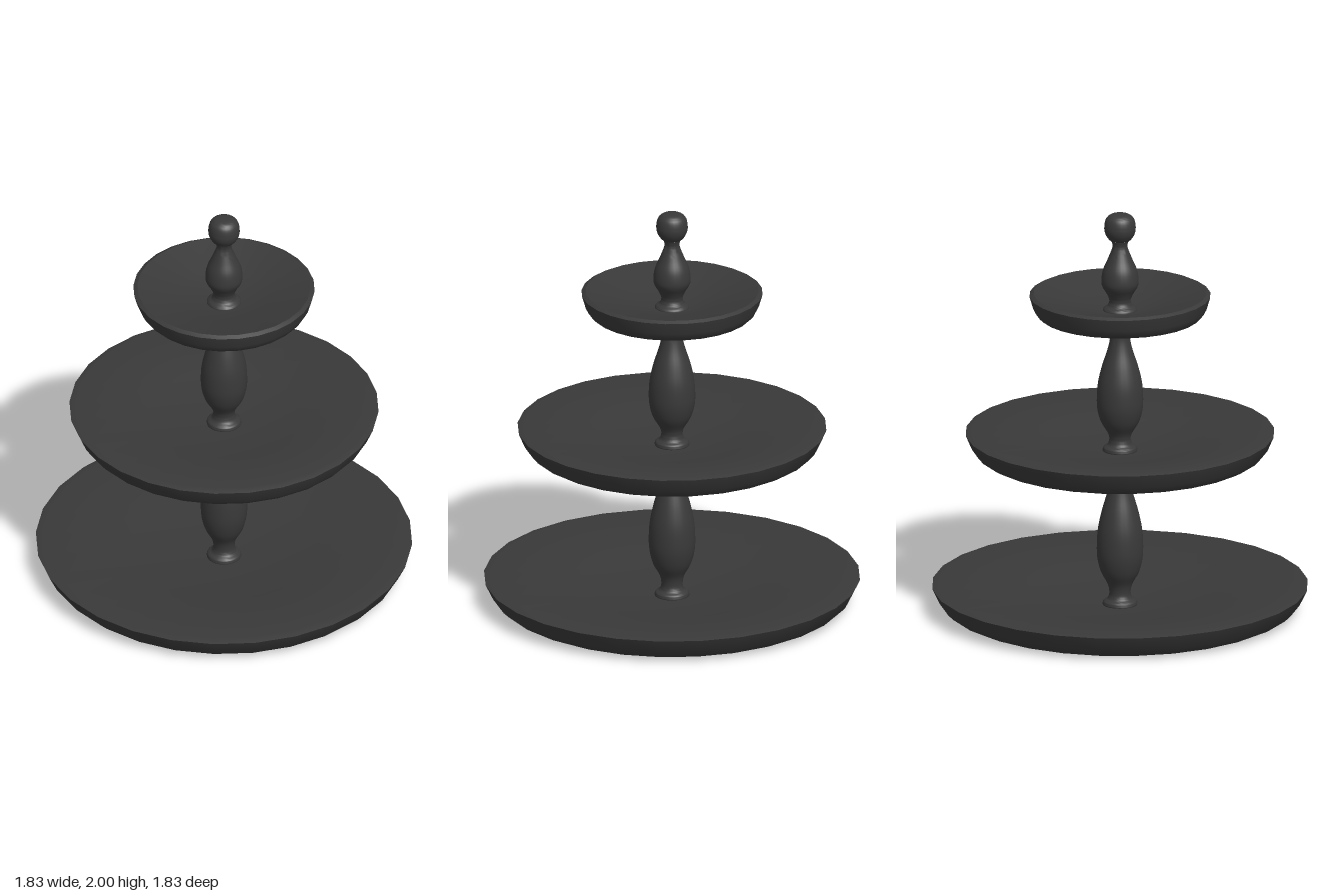
import * as THREE from 'three';
import { toCreasedNormals } from 'three/addons/utils/BufferGeometryUtils.js';

const SIDES = 28;
const material = new THREE.MeshStandardMaterial({ color: 0x393939 });

const vectors = (points) => points.map(([r, y]) => new THREE.Vector2(r, y));

// Smooth turned profile through a few [radius, height] points
function turned(points, steps) {
  return new THREE.SplineCurve(vectors(points)).getPoints(steps)
    .map((p) => new THREE.Vector2(Math.max(p.x, 0), p.y));
}

function addLathe(group, name, profile, y, crease) {
  const geometry = toCreasedNormals(new THREE.LatheGeometry(profile, SIDES), crease);
  const mesh = new THREE.Mesh(geometry, material);
  mesh.name = name;
  mesh.position.y = y;
  group.add(mesh);
}

// Plate: flat base, rounded outer wall, bevelled rim, top sloping gently to the middle
function trayProfile(R, h) {
  return vectors([
    [0, 0], [R * 0.83, 0], [R * 0.89, 0.007], [R * 0.93, 0.024], [R * 0.96, 0.05],
    [R, h - 0.01], [R * 0.955, h],
    [R * 0.5, 0.02 + (h - 0.02) * 0.48], [0, 0.015],
  ]);
}

// Foot ring and narrow waist shared by the posts and the finial
const foot = [
  [0.07, 0.012], [0.082, 0.022], [0.084, 0.034], [0.078, 0.046], [0.06, 0.058],
  [0.052, 0.085],
];

export function createModel() {
  const group = new THREE.Group();

  // Three trays, shrinking upwards
  const trays = [
    ['bottomTray', 0.913, 0, 0.135],
    ['middleTray', 0.75, 0.776, 0.13],
    ['topTray', 0.44, 1.48, 0.12],
  ];
  for (const [name, R, y, h] of trays) addLathe(group, name, trayProfile(R, h), y, 0.6);

  // Baluster posts between the trays
  const post = [
    ...foot, [0.06, 0.13], [0.092, 0.19], [0.11, 0.26], [0.113, 0.33], [0.107, 0.41],
    [0.088, 0.5], [0.062, 0.59], [0.049, 0.655], [0.05, 0.7], [0.06, 0.745], [0.074, 0.785],
  ];
  for (const [name, y, height] of [['lowerPost', 0, 0.785], ['upperPost', 0.778, 0.707]]) {
    const s = height / 0.785;
    const points = post.map(([r, py], i) => [r, i < foot.length ? py : py * s]);
    addLathe(group, name, turned(points, 64), y, 1.2);
  }

  // Finial with a rounded knob
  const finial = [
    ...foot, [0.066, 0.12], [0.084, 0.15], [0.091, 0.18], [0.083, 0.235], [0.06, 0.29],
    [0.042, 0.335], [0.036, 0.36], [0.042, 0.384],
  ];
  addLathe(group, 'finial', turned(finial, 56), 1.48, 1.2);
  const knob = [
    [0, 0], [0.042, 0.002], [0.063, 0.022], [0.075, 0.05], [0.076, 0.08],
    [0.068, 0.112], [0.05, 0.13], [0.028, 0.137], [0, 0.138],
  ];
  addLathe(group, 'knob', turned(knob, 28), 1.862, 1.2);

  return group;
}
